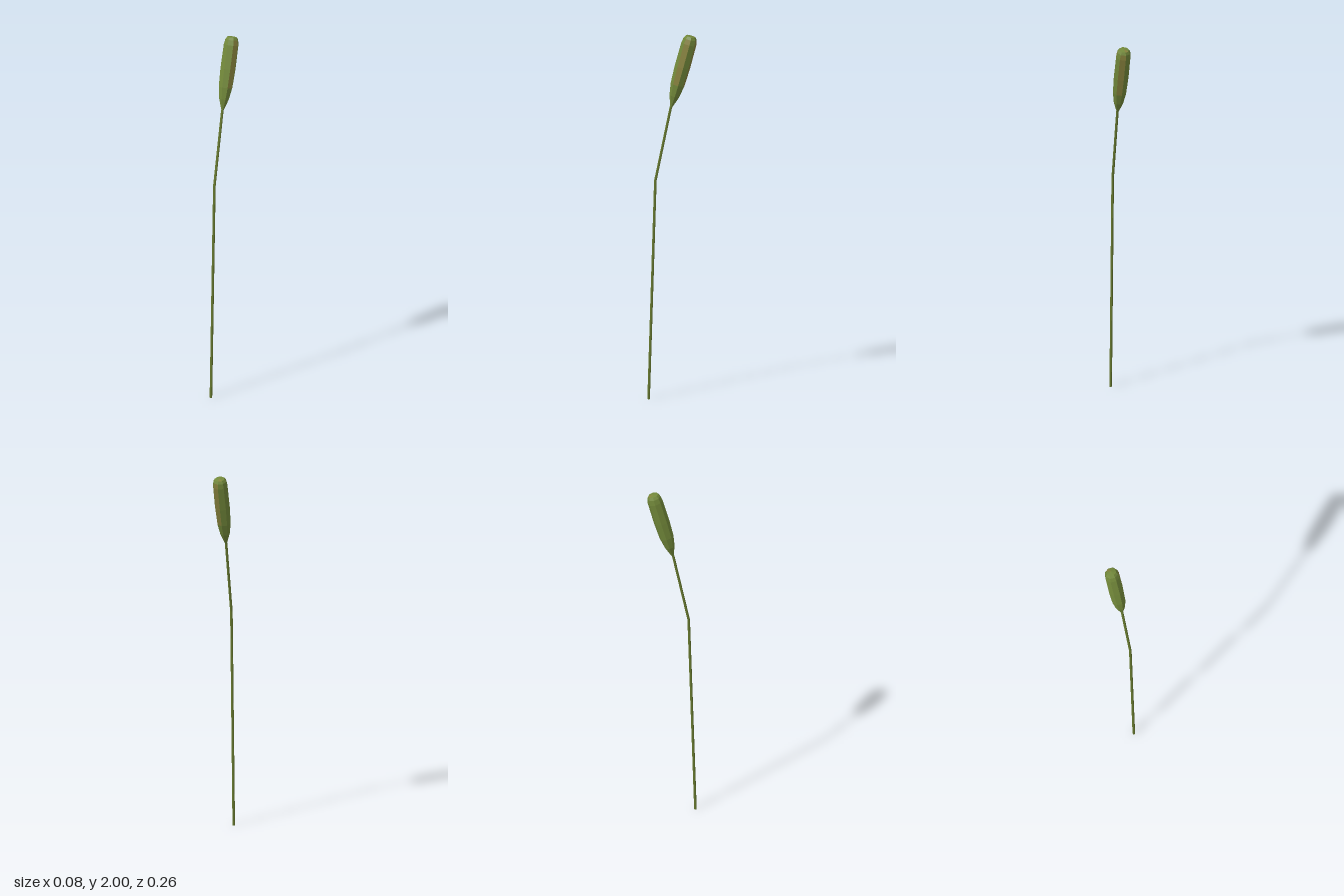
import * as THREE from 'three';

export function createModel() {
  const group = new THREE.Group();
  group.name = 'reed';
  const make = (name, color) => {
    const m = new THREE.MeshStandardMaterial({ color, flatShading: true });
    m.name = name;
    return m;
  };
  const green = make('leaf green', 0x72883a);
  const brown = make('olive brown', 0x85803c);
  const stemGreen = make('stem green', 0x66782f);

  // Stem: a thin six-sided rod with one bend, rings placed along a path
  const path = [[0, -0.003, 0.126], [1.2, -0.002, 0.09], [1.605, 0, 0.007]];
  const stemGeo = new THREE.CylinderGeometry(0.007, 0.007, 2, 6, 2);
  const p = stemGeo.attributes.position;
  for (let i = 0; i < p.count; i++) {
    const [y, x, z] = path[Math.round(p.getY(i) + 1)];
    p.setXYZ(i, p.getX(i) + x, y, p.getZ(i) + z);
  }
  stemGeo.computeVertexNormals();
  const stem = new THREE.Mesh(stemGeo, stemGreen);
  stem.name = 'stem';
  group.add(stem);

  // Seed head: eight-sided, tapered to the stem, with a bevelled flat tip
  const profile = [[0.005, 0], [0.027, 0.065], [0.038, 0.13], [0.042, 0.23],
    [0.041, 0.36], [0.036, 0.388], [0.027, 0.402], [0, 0.406]]
    .map(([r, y]) => new THREE.Vector2(r, y));
  const headGeo = new THREE.LatheGeometry(profile, 8);
  const rows = profile.length - 1;
  for (let side = 0; side < 8; side++) {
    for (let row = 0; row < rows; row++) {
      // Weathered strips on two sides and part of the tip
      const strip = (side === 1 || side === 3) && row > 1 && row < 5;
      const tip = side === 4 && row === rows - 1;
      headGeo.addGroup((side * rows + row) * 6, 6, strip || tip ? 1 : 0);
    }
  }
  const head = new THREE.Mesh(headGeo, [green, brown]);
  head.name = 'seedHead';
  head.position.set(0, 1.6, 0.006);
  head.rotation.x = -0.265;
  group.add(head);

  return group;
}
